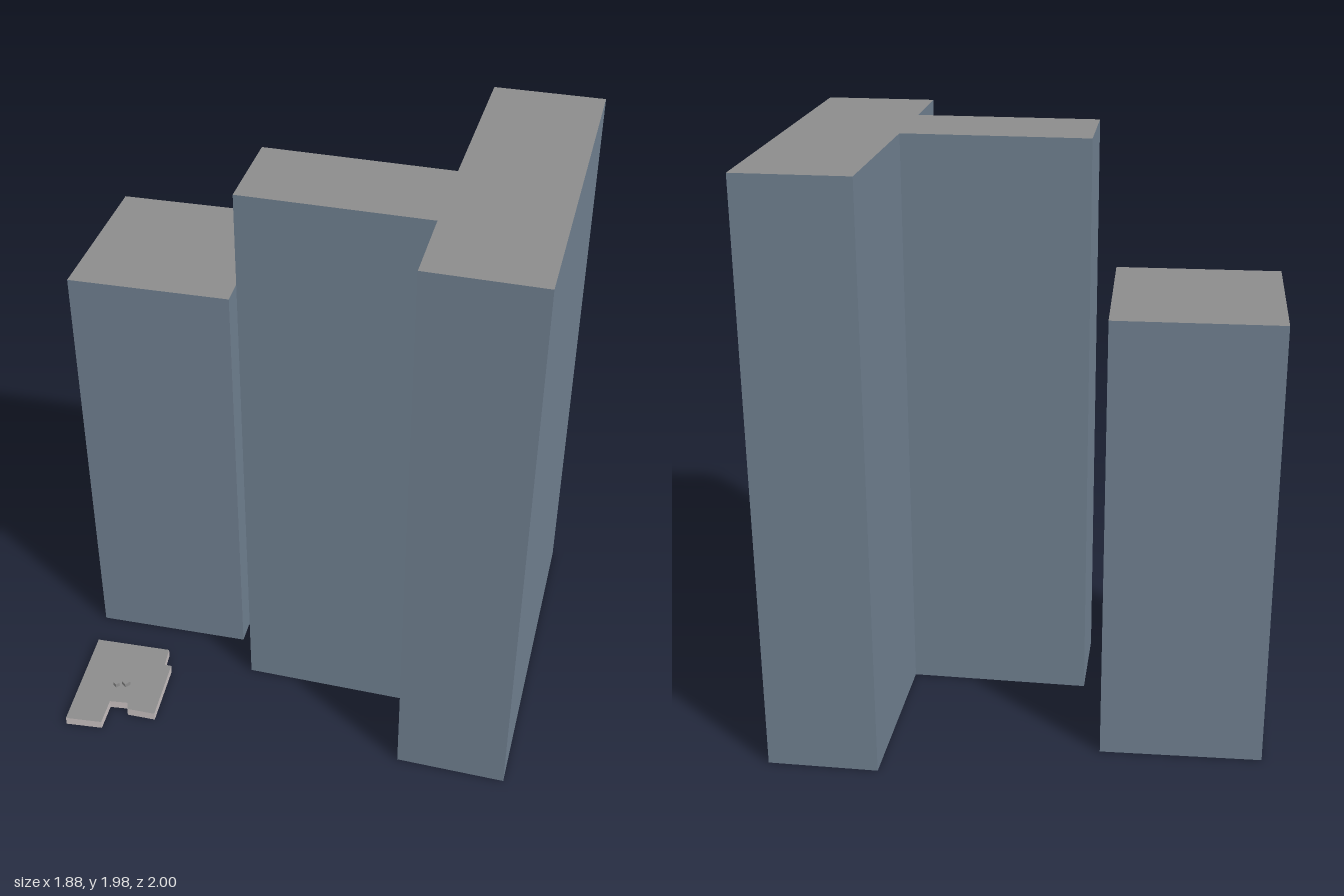
import * as THREE from 'three';

const paint = (color) => new THREE.MeshStandardMaterial({ color });
const glass = paint(0x708090);
const roof = paint(0x8c8c8c);
const stone = paint(0xc8c0c0);
const dark = paint(0x444444);

// Upright block over a plan outline of [x, z] corners, with own floor, roof and wall materials.
function block(name, plan, y0, y1, wall, floor) {
  const shape = new THREE.Shape(plan.map(([x, z]) => new THREE.Vector2(x, -z)));
  const geo = new THREE.ExtrudeGeometry(shape, { depth: y1 - y0, bevelEnabled: false });
  const [caps, sides] = geo.groups;
  const half = caps.count / 2;
  geo.clearGroups();
  geo.addGroup(0, half, 0);
  geo.addGroup(half, half, 1);
  geo.addGroup(sides.start, sides.count, 2);
  geo.rotateX(-Math.PI / 2);
  geo.translate(0, y0, 0);
  const mesh = new THREE.Mesh(geo, [floor, roof, wall]);
  mesh.name = name;
  return mesh;
}

export function createModel() {
  const model = new THREE.Group();
  model.name = 'buildingComplex';

  // Tall tower with a T-shaped plan
  model.add(block('tallTower', [
    [0.22, -1], [0.94, -0.03], [0.64, 0.19], [0.47, -0.035],
    [-0.02, 0.33], [-0.21, 0.08], [0.285, -0.285], [-0.075, -0.78],
  ], 0, 1.977, glass, glass));

  // Lower tower with a rectangular plan
  model.add(block('lowerTower', [
    [-0.525, -0.19], [-0.165, 0.26], [-0.59, 0.6], [-0.945, 0.145],
  ], 0, 1.515, glass, glass));

  // Flat pavilion with notched corners
  model.add(block('pavilion', [
    [-0.27, 0.525], [-0.217, 0.58], [-0.197, 0.565], [-0.04, 0.745], [-0.12, 0.807],
    [-0.143, 0.79], [-0.19, 0.835], [-0.125, 0.913], [-0.22, 1], [-0.48, 0.7],
  ], 0, 0.03, stone, dark));

  // Small roof vents on the pavilion
  for (const [x, z, s] of [[-0.223, 0.744, 0.022], [-0.24, 0.774, 0.016]]) {
    const vent = new THREE.Mesh(new THREE.BoxGeometry(s, 0.015, s), roof);
    vent.position.set(x, 0.0375, z);
    vent.name = 'roofVent';
    model.add(vent);
  }
  return model;
}
